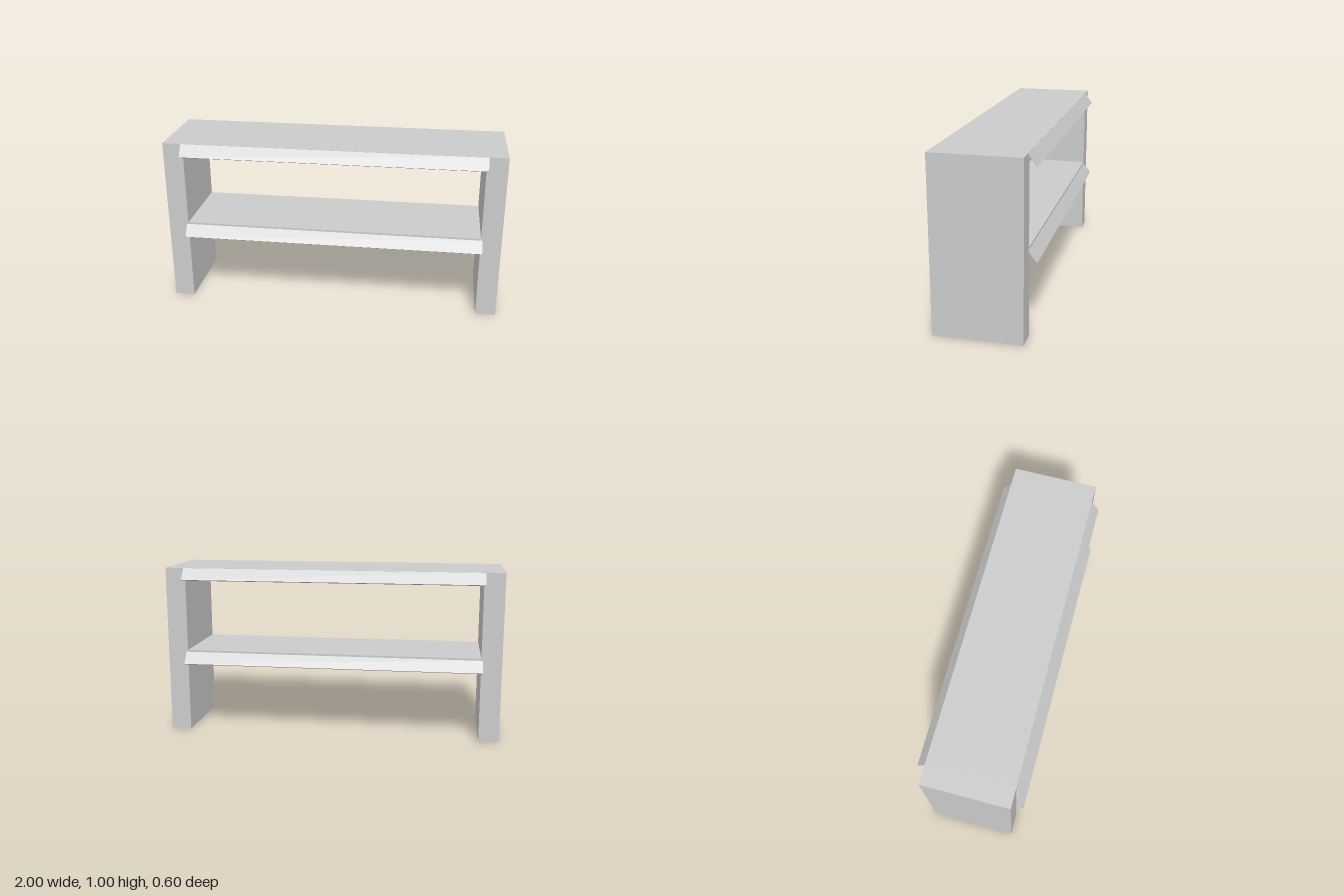
import * as THREE from 'three';

export function createModel() {
  const group = new THREE.Group();
  const material = new THREE.MeshStandardMaterial({ color: 0xcccccc, flatShading: true });

  function add(name, geometry, x = 0, y = 0) {
    const mesh = new THREE.Mesh(geometry, material);
    mesh.name = name;
    mesh.position.set(x, y, 0);
    group.add(mesh);
    return mesh;
  }

  // Solid end panels
  for (const [name, side] of [['leftPanel', 1], ['rightPanel', -1]]) {
    add(name, new THREE.BoxGeometry(0.12, 1, 0.5), side * 0.94, 0.5);
  }

  // Slanted lip: (z, y) section relative to its upper edge, run along x
  const lipWidth = 1.78;
  const section = new THREE.Shape([
    new THREE.Vector2(0.25, 0),
    new THREE.Vector2(0.25, -0.015),
    new THREE.Vector2(0.29, -0.07),
    new THREE.Vector2(0.298, -0.065),
  ]);
  const lipGeometry = new THREE.ExtrudeGeometry(section, { depth: lipWidth, bevelEnabled: false });
  lipGeometry.translate(0, 0, -lipWidth / 2).rotateY(-Math.PI / 2);

  // Two shelves, each with a lip along the front and the back
  for (const [name, top, lipTop] of [['topShelf', 1, 0.999], ['lowerShelf', 0.5, 0.489]]) {
    add(name, new THREE.BoxGeometry(1.76, 0.05, 0.5), 0, top - 0.025);
    add(name + 'FrontLip', lipGeometry, 0, lipTop);
    add(name + 'BackLip', lipGeometry, 0, lipTop).rotation.y = Math.PI;
  }

  return group;
}
